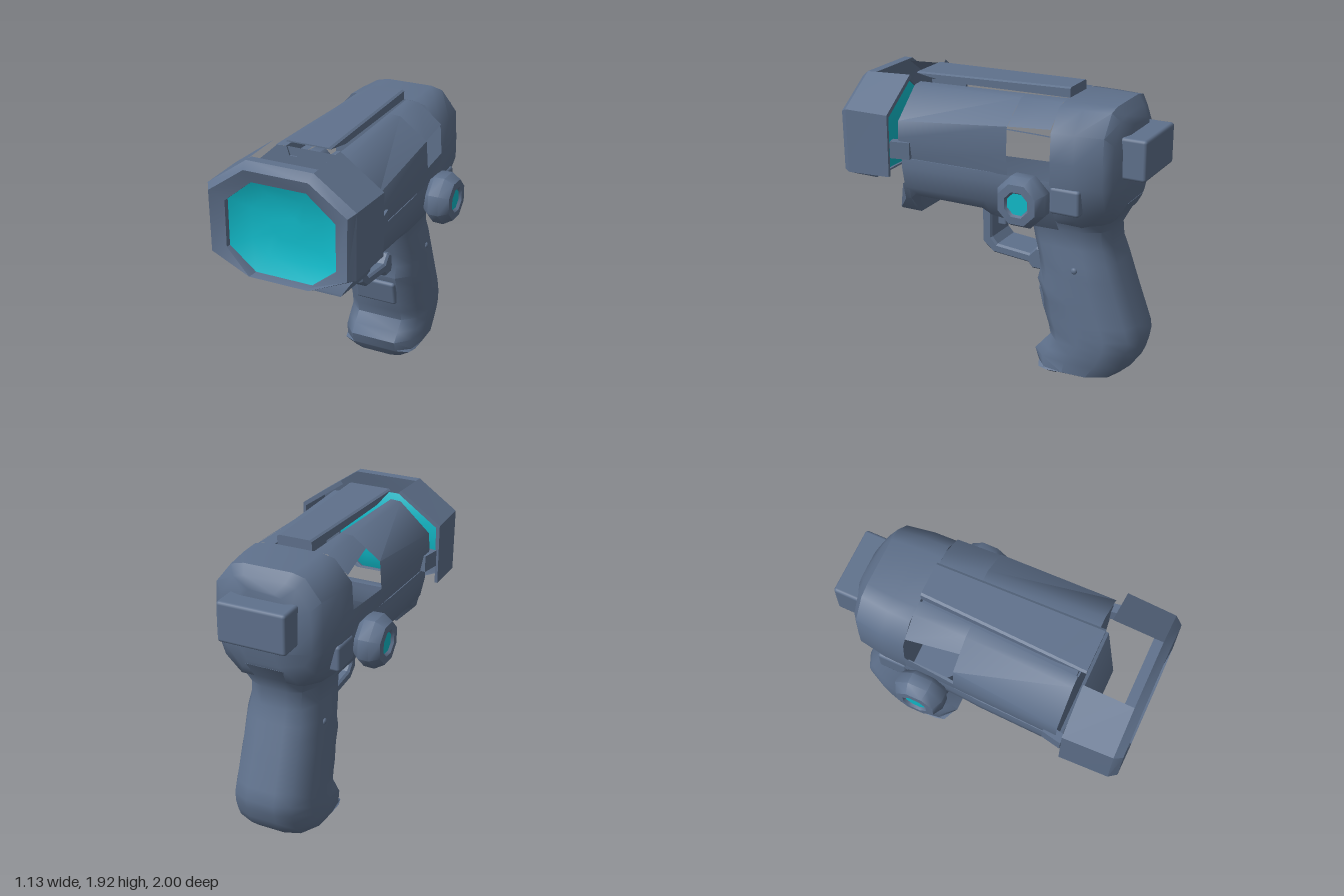
import * as THREE from 'three';
import { toCreasedNormals } from 'three/addons/utils/BufferGeometryUtils.js';
import { RoundedBoxGeometry } from 'three/addons/geometries/RoundedBoxGeometry.js';

export function createModel() {
  const model = new THREE.Group();
  // hollow shells show only their outer skin
  const slate = new THREE.MeshStandardMaterial({ color: 0x5f718c });
  slate.name = 'slate';
  const teal = new THREE.MeshStandardMaterial({ color: 0x10bac9, side: THREE.DoubleSide });
  teal.name = 'teal';

  const add = (name, geo, mat = slate, x = 0, y = 0, z = 0) => {
    const m = new THREE.Mesh(geo, mat);
    m.name = name;
    m.position.set(x, y, z);
    model.add(m);
    return m;
  };

  // skin a list of rings (arrays of [x, y, z]); front to back or top to bottom
  function loft(rings, { closed = true, capA = closed, capB = closed, crease = 0.85 } = {}) {
    const n = rings[0].length, pos = rings.flat(2), idx = [];
    for (let r = 0; r < rings.length - 1; r++) {
      for (let i = 0; i < (closed ? n : n - 1); i++) {
        const a = r * n + i, b = r * n + (i + 1) % n;
        idx.push(a, b, a + n, b, b + n, a + n);
      }
    }
    const last = (rings.length - 1) * n;
    for (let i = 1; i < n - 1; i++) {
      if (capA) idx.push(0, i + 1, i);
      if (capB) idx.push(last, last + i, last + i + 1);
    }
    const g = new THREE.BufferGeometry();
    g.setAttribute('position', new THREE.Float32BufferAttribute(pos, 3));
    g.setIndex(idx);
    return toCreasedNormals(g, crease);
  }
  const mirrored = half => half.concat(half.map(([x, ...r]) => [-x, ...r]).reverse());
  const atZ = (half, z) => mirrored(half.map(([x, y]) => [x, y, z]));
  // open strip of sections [z, points]; s = 1 or -1 picks the side
  const shell = (s, ...secs) => loft(secs.map(([z, pts]) => {
    const p = pts.map(([x, y]) => [s * x, y, z]);
    return s > 0 ? p : p.reverse();
  }), { closed: false });

  // muzzle ring and dished lens
  const inner = [[0.18, 1.75], [0.365, 1.6], [0.365, 1.3], [0.19, 1.16]];
  const outer = [[0.22, 1.872], [0.488, 1.685], [0.485, 1.265], [0.22, 1.15]];
  const rim = [[0.21, 1.83], [0.455, 1.66], [0.45, 1.27], [0.2, 1.155]];
  const hood = mirrored(outer.map(([x, y], i) => [x, y, i < 2 ? 0.89 : 0.915]));
  add('muzzleRing', loft([atZ(inner, 0.92), atZ(inner, 0.97), atZ(rim, 1), atZ(outer, 0.95), hood, atZ(inner, 0.92)],
    { capA: false, capB: false, crease: 0.6 }));
  const lensRing = (k, z) => atZ(inner.map(([x, y]) => [x * k, 1.455 + (y - 1.455) * k]), z);
  add('lens', loft([lensRing(0.25, 0.878), lensRing(0.65, 0.887), lensRing(1, 0.935)], { capB: false }), teal);

  // barrel, mirrored pieces
  const shroudBack = [[0.22, 1.888], [0.5, 1.69], [0.5, 1.285]];
  const inset = pts => pts.map(([x, y], i) => [x - 0.02, y - (i < 2 ? 0.02 : 0)]);
  const panelFront = [[0.1, 1.78], [0.15, 1.78], [0.17, 1.84], [0.24, 1.835], [0.445, 1.65], [0.455, 1.54], [0.425, 1.4]];
  const panelBack = [[0.08, 1.79], [0.125, 1.79], [0.14, 1.85], [0.22, 1.845], [0.405, 1.71], [0.418, 1.53], [0.4, 1.4]];
  for (const s of [1, -1]) {
    const side = s > 0 ? 'left' : 'right';
    const front = outer.slice(0, 3);
    add(side + 'MuzzleShroud', shell(s, [0.95, front], [0.63, shroudBack], [0.63, inset(shroudBack)], [0.93, inset(front)]));
    // the left panel reaches further back than the right
    const end = s > 0 ? -0.17 : -0.11;
    add(side + 'BarrelPanel', shell(s, [0.58, panelFront], [end, panelBack]));
    // strips around the side window; the right one leaves a gap on top
    const edge = s > 0 ? [[0.4, 1.71], [0.38, 1.725]] : [[0.31, 1.78], [0.35, 1.745]];
    add(side + 'WindowTop', shell(s,
      [end, [...panelBack.slice(0, 4), edge[0]]],
      [-0.45, [[0.07, 1.795], [0.12, 1.795], [0.13, 1.855], [0.22, 1.85], edge[1]]]));
    add(side + 'WindowSill', shell(s, [end, panelBack.slice(5)], [-0.45, [[0.39, 1.53], [0.39, 1.4]]]));
    const tab = add(side + 'BarrelTab', new THREE.BoxGeometry(0.06, 0.11, 0.13), slate, s * 0.445, 1.465, 0.565);
    tab.rotation.y = s * 0.2;

    // side knob with a lens
    const profile = [[0.1, 0.36], [0.145, 0.4], [0.17, 0.43], [0.172, 0.5], [0.135, 0.562], [0.085, 0.565], [0.068, 0.54]];
    const knobGeo = new THREE.LatheGeometry(profile.map(p => new THREE.Vector2(...p)), 8, Math.PI / 8);
    const knob = add(side + 'Knob', toCreasedNormals(knobGeo, 0.9), slate, 0, 1.285, -0.315);
    knob.rotation.z = -s * Math.PI / 2;
    const eye = add(side + 'KnobLens', new THREE.CircleGeometry(0.074, 8, Math.PI / 8), teal, s * 0.547, 1.285, -0.315);
    eye.rotation.y = s * Math.PI / 2;
    add(side + 'KnobBracket', new RoundedBoxGeometry(0.1, 0.17, 0.2, 2, 0.02), slate, s * 0.345, 1.285, -0.55);

    // grip pin
    const pin = add(side + 'GripPin', new THREE.SphereGeometry(0.022, 10, 8), slate, s * 0.25, 0.785, -0.56);
    pin.scale.x = 0.7;
  }

  // wall closing the front of the barrel
  const wall = new THREE.Shape(mirrored([[0.17, 1.835], [0.24, 1.83], [0.44, 1.65], [0.45, 1.54], [0.42, 1.38], [0.38, 1.2]])
    .map(p => new THREE.Vector2(...p)));
  add('barrelFront', new THREE.ShapeGeometry(wall), slate, 0, 0, 0.57);

  // lower barrel trough, open on top
  const lower = (z, k, yb, w) => atZ([[0.39 * k, 1.41], [0.43 * k, 1.405], [0.435 * k, 1.34], [0.405 * k, 1.2], [w + 0.07, yb + 0.03], [w, yb]], z);
  add('lowerBarrel', loft([lower(0.57, 1, 1.1, 0.27), lower(0.04, 0.96, 1.1, 0.27), lower(0.0, 0.95, 1.045, 0.22),
    lower(-0.2, 0.92, 1.02, 0.21), lower(-0.46, 0.9, 1.02, 0.2)], { closed: false, crease: 0.6 }));

  // front scoop: z, bottom, top, bottom width, top width
  const scoop = [[0.7, 0.985, 1.0, 0.25, 0.26], [0.59, 0.985, 1.22, 0.25, 0.4],
    [0.55, 0.985, 1.24, 0.25, 0.4], [0.49, 1.1, 1.24, 0.24, 0.38]];
  add('frontScoop', loft(scoop.map(([z, yb, yt, wb, wt]) =>
    atZ([[wt, yt], [wb + (wt - wb) * 0.8, yb + (yt - yb) * 0.52], [wb, yb]], z)), { crease: 0.6 }));

  // top rail
  const rail = [[0.62, 1.885, 1.893, 0.15], [0.42, 1.85, 1.898, 0.143], [-0.45, 1.855, 1.918, 0.115]];
  add('topRail', loft(rail.map(([z, yb, yt, w]) => atZ([[w - 0.015, yt], [w, yt - 0.008], [w, yb]], z)), { crease: 0.3 }));

  // rear body: z, top, bottom, half width
  const rear = [[-0.45, 1.855, 1.05, 0.39], [-0.6, 1.855, 1.05, 0.385], [-0.78, 1.855, 1.13, 0.355],
    [-0.825, 1.8, 1.2, 0.3], [-0.865, 1.74, 1.27, 0.19]];
  add('rearBody', loft(rear.map(([z, t, b, w]) => atZ(
    [[0.45 * w, t], [0.68 * w, t - 0.02], [0.97 * w, t - 0.15], [w, 1.52], [w, 1.38], [0.85 * w, b + 0.1], [0.55 * w, b]], z))));
  add('rearKnob', new RoundedBoxGeometry(0.45, 0.26, 0.2, 2, 0.02), slate, 0, 1.56, -0.9);

  // grip: y, front z, back z, half width
  const grip = [[1.24, -0.12, -0.85, 0.35], [1.14, -0.17, -0.79, 0.29], [1.04, -0.21, -0.74, 0.238], [0.92, -0.235, -0.75, 0.24],
    [0.82, -0.265, -0.785, 0.255], [0.72, -0.28, -0.82, 0.258], [0.64, -0.26, -0.85, 0.262], [0.54, -0.3, -0.885, 0.265],
    [0.42, -0.315, -0.93, 0.268], [0.34, -0.345, -0.957, 0.272], [0.27, -0.36, -0.945, 0.274], [0.2, -0.3, -0.925, 0.274],
    [0.14, -0.25, -0.9, 0.272], [0.065, -0.275, -0.82, 0.27], [0.055, -0.28, -0.53, 0.265], [0, -0.315, -0.45, 0.18]];
  add('grip', loft(grip.map(([y, f, b, w]) => {
    const d = f - b;
    return mirrored([[0.35, 0], [0.72, 0.07], [0.97, 0.3], [1, 0.6], [0.93, 0.85], [0.6, 1]]
      .map(([kx, kz]) => [kx * w, y, b + kz * d]));
  })));
  const pad = add('fingerPad', new RoundedBoxGeometry(0.3, 0.18, 0.08, 2, 0.02), slate, 0, 0.51, -0.315);
  pad.rotation.x = 0.22;

  // trigger guard cut from a side profile of [z, y]
  const guardShape = new THREE.Shape([[0.165, 1.12], [0.16, 0.8], [0.085, 0.74], [-0.17, 0.72], [-0.2, 0.685],
    [-0.27, 0.685], [-0.29, 0.74], [-0.28, 0.82], [-0.23, 0.83], [-0.18, 0.775], [0.06, 0.795], [0.1, 0.84], [0.1, 1.12]]
    .map(([z, y]) => new THREE.Vector2(-z, y)));
  const guardGeo = new THREE.ExtrudeGeometry(guardShape, { depth: 0.22, bevelSize: 0.012, bevelThickness: 0.015, bevelOffset: -0.008, bevelSegments: 1 });
  guardGeo.translate(0, 0, -0.11);
  add('triggerGuard', guardGeo).rotation.y = Math.PI / 2;
  add('trigger', new RoundedBoxGeometry(0.12, 0.22, 0.065, 2, 0.015), slate, 0, 1.02, 0.055);

  return model;
}
